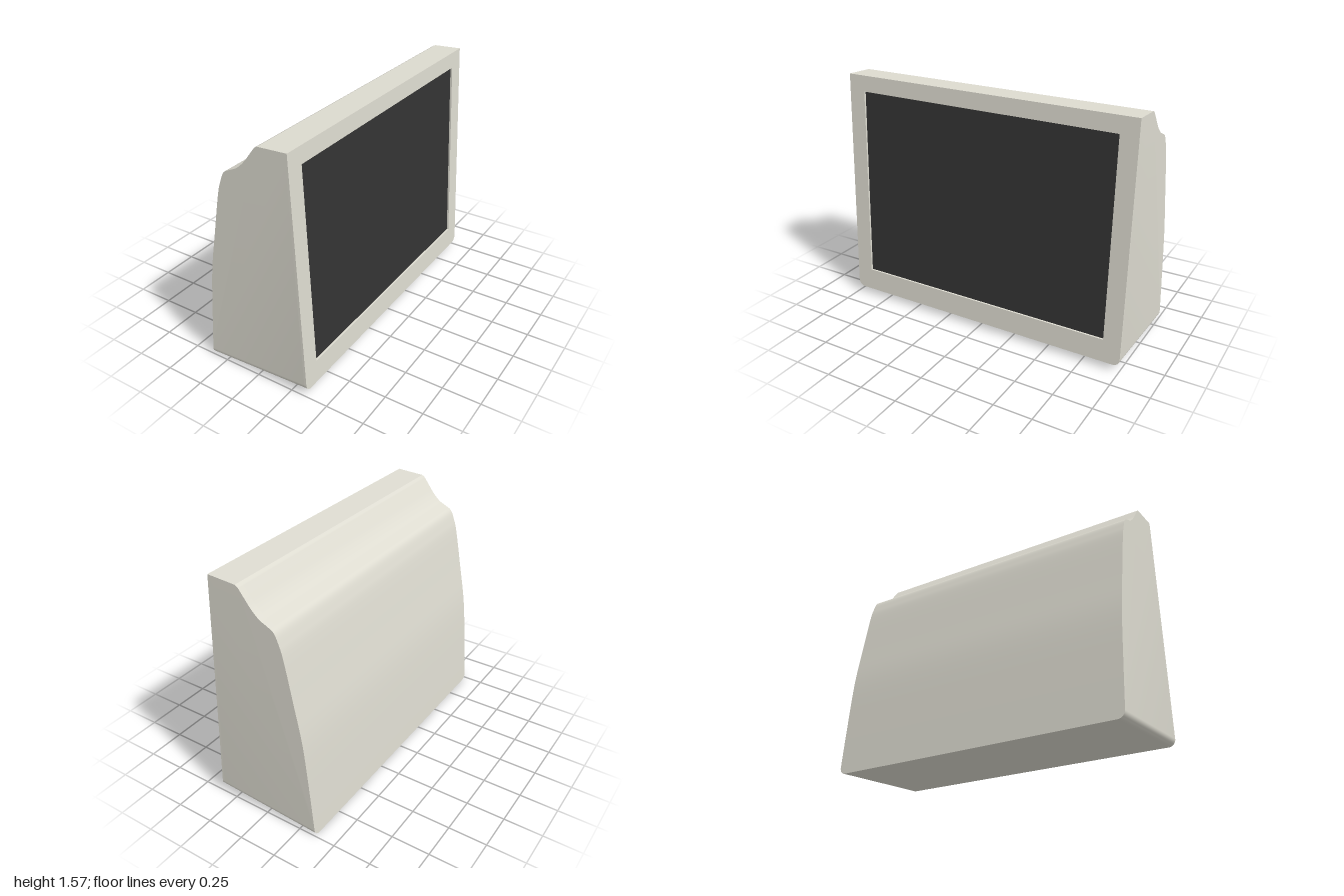
import * as THREE from 'three';
import { toCreasedNormals } from 'three/addons/utils/BufferGeometryUtils.js';

const DEPTH = 0.015; // screen recess
const HEIGHT = 1.532; // front face, measured along its slope
const RADIUS = 0.045; // rounded lower corners
const up = new THREE.Vector3(-0.049, 0.9988, 0).normalize();
const across = new THREE.Vector3(0, 0, -1);
const out = new THREE.Vector3().crossVectors(across, up);
const origin = new THREE.Vector3(0.362, 0.045, 0).addScaledVector(out, -DEPTH);

// Side profile, counter-clockwise; lift raises the bottom edge for the rounded ends
function profile(lift) {
  const back = new THREE.SplineCurve([
    [0.08, 1.556], [0.045, 1.51], [0, 1.452], [-0.05, 1.405], [-0.1, 1.38], [-0.144, 1.354],
    [-0.173, 1.292], [-0.2, 1.2], [-0.252, 0.933], [-0.302, 0.66], [-0.338, 0.31], [-0.365, 0.004],
  ].map(([x, y]) => new THREE.Vector2(x, y))).getPoints(55);
  const last = back[back.length - 1];
  last.x += lift * 0.09;
  last.y += lift;
  const front = (v) => new THREE.Vector2(origin.x + up.x * v, origin.y + up.y * v);
  return [front(lift), front(HEIGHT), new THREE.Vector2(0.098, 1.566), ...back];
}

// Housing: the profile swept along z, with quarter-round lower edges at both ends
function housingGeometry() {
  const stations = [];
  const steps = 8;
  for (let i = 0; i <= steps; i++) {
    const a = (i / steps) * Math.PI / 2;
    stations.push({ z: 1 - RADIUS + RADIUS * Math.sin(a), lift: RADIUS * (1 - Math.cos(a)) });
  }
  const rings = [
    ...stations.slice().reverse().map((s) => ({ z: -s.z, pts: profile(s.lift) })),
    ...stations.map((s) => ({ z: s.z, pts: profile(s.lift) })),
  ];
  const pos = [];
  const put = (ring, i) => pos.push(ring.pts[i].x, ring.pts[i].y, ring.z);
  const n = rings[0].pts.length;
  for (let r = 0; r < rings.length - 1; r++) {
    const A = rings[r], B = rings[r + 1];
    for (let i = 0; i < n; i++) {
      const j = (i + 1) % n;
      put(A, i); put(A, j); put(B, j);
      put(A, i); put(B, j); put(B, i);
    }
  }
  // Flat end caps
  const first = rings[0], end = rings[rings.length - 1];
  for (const [a, b, c] of THREE.ShapeUtils.triangulateShape(end.pts, [])) {
    put(end, a); put(end, b); put(end, c);
    put(first, a); put(first, c); put(first, b);
  }
  const geo = new THREE.BufferGeometry();
  geo.setAttribute('position', new THREE.Float32BufferAttribute(pos, 3));
  return toCreasedNormals(geo, 0.45);
}

// Bezel: frame with rounded lower corners and a rectangular opening
function bezelGeometry() {
  const s = new THREE.Shape();
  s.moveTo(-1 + RADIUS, 0);
  s.lineTo(1 - RADIUS, 0);
  s.absarc(1 - RADIUS, RADIUS, RADIUS, -Math.PI / 2, 0, false);
  s.lineTo(1, HEIGHT);
  s.lineTo(-1, HEIGHT);
  s.lineTo(-1, RADIUS);
  s.absarc(-1 + RADIUS, RADIUS, RADIUS, Math.PI, Math.PI * 1.5, false);
  const hole = new THREE.Path();
  hole.moveTo(-0.885, 0.15);
  hole.lineTo(-0.885, 1.427);
  hole.lineTo(0.885, 1.427);
  hole.lineTo(0.885, 0.15);
  hole.closePath();
  s.holes.push(hole);
  const geo = new THREE.ExtrudeGeometry(s, { depth: DEPTH, bevelEnabled: false, curveSegments: 8 });
  return toCreasedNormals(geo, 0.45);
}

export function createModel() {
  const model = new THREE.Group();
  const shell = new THREE.MeshStandardMaterial({ color: 0xdddbd0 });
  const glass = new THREE.MeshStandardMaterial({ color: 0x333333 });
  const add = (parent, name, geo, mat) => {
    const mesh = new THREE.Mesh(geo, mat);
    mesh.name = name;
    parent.add(mesh);
    return mesh;
  };

  add(model, 'housing', housingGeometry(), shell);

  // Tilted front assembly
  const front = new THREE.Group();
  front.name = 'frontPanel';
  front.quaternion.setFromRotationMatrix(new THREE.Matrix4().makeBasis(across, up, out));
  front.position.copy(origin);
  model.add(front);
  add(front, 'bezel', bezelGeometry(), shell);
  const screen = add(front, 'screen', new THREE.PlaneGeometry(1.77, 1.277), glass);
  screen.position.set(0, 0.7885, 0.002);
  return model;
}
